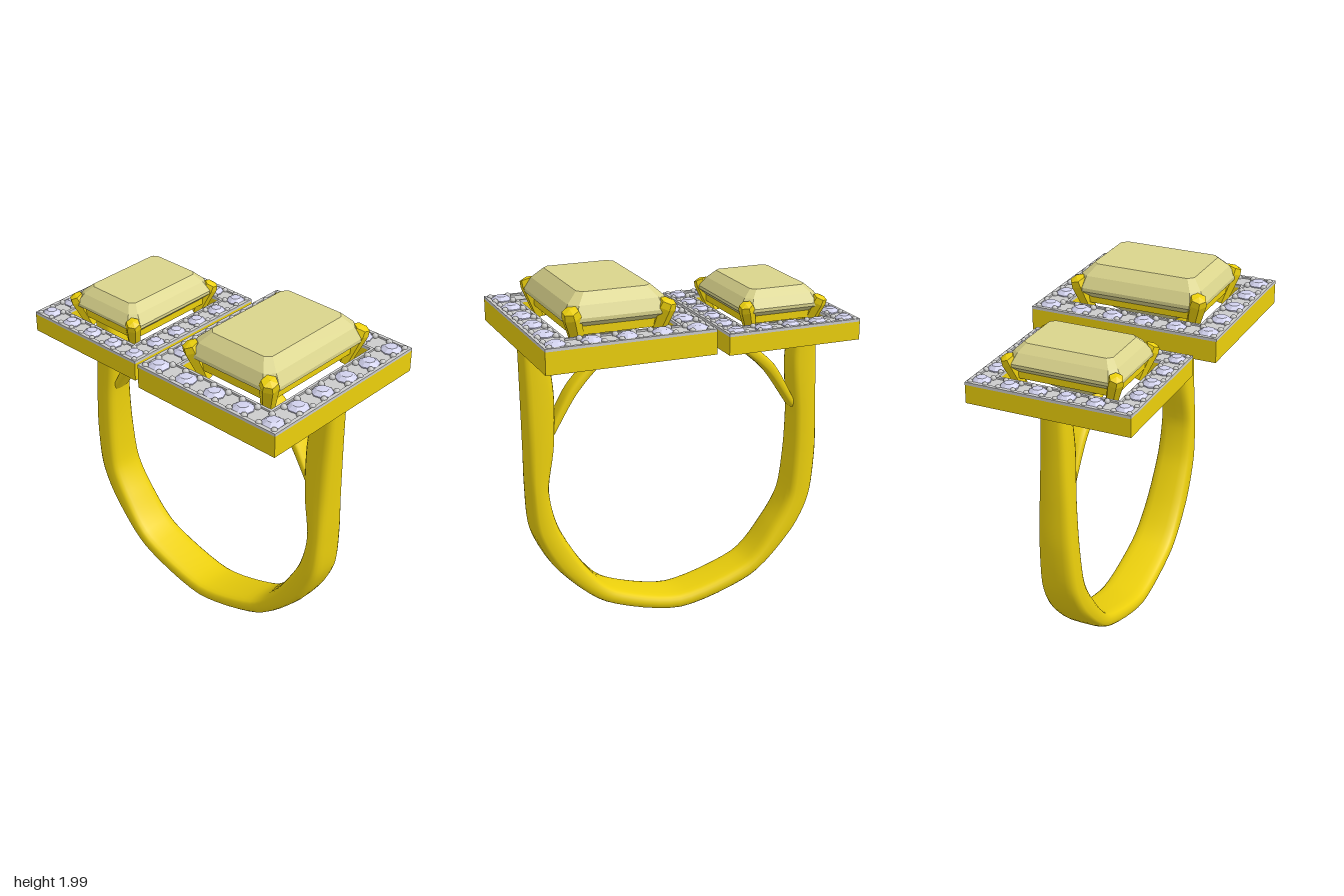
import * as THREE from 'three';

const paint = (color, extra = {}) => new THREE.MeshStandardMaterial({ color, ...extra });
const gold = paint(0xecd00c);
const goldFlat = paint(0xecd00c, { flatShading: true });
const silver = paint(0xcccccc);
const yellowGem = paint(0xdad48c, { flatShading: true });
const whiteGem = paint(0xd2d2ee, { flatShading: true });

function add(parent, name, geometry, material, x = 0, y = 0, z = 0) {
  const mesh = new THREE.Mesh(geometry, material);
  mesh.name = name;
  mesh.position.set(x, y, z);
  parent.add(mesh);
  return mesh;
}

// Closed skin over equal-length rings, with both ends capped
function skin(rings) {
  const n = rings[0].length;
  const centre = (ring) => {
    const c = new THREE.Vector3();
    ring.forEach((p) => c.addScaledVector(p, 1 / n));
    return ring.map(() => c);
  };
  const first = rings[0], last = rings[rings.length - 1];
  const all = [centre(first), first, ...rings, last, centre(last)];
  const index = [];
  for (let i = 0; i < all.length - 1; i++) {
    for (let j = 0; j < n; j++) {
      const a = i * n + j, b = i * n + (j + 1) % n;
      index.push(a, a + n, b + n, a, b + n, b);
    }
  }
  const g = new THREE.BufferGeometry().setFromPoints(all.flat());
  g.setIndex(index);
  g.computeVertexNormals();
  return g;
}

// Band between an outer and an inner outline; halfWidth gives z from the height
function band(outer, inner, halfWidth, steps) {
  const curve = (pts) => new THREE.CatmullRomCurve3(
    pts.map(([x, y]) => new THREE.Vector3(x, y, 0)), false, 'catmullrom', 0.4);
  const co = curve(outer), ci = curve(inner);
  const round = (v) => Math.sign(v) * Math.abs(v) ** 0.6;
  const rings = [];
  for (let i = 0; i <= steps; i++) {
    const o = co.getPoint(i / steps), q = ci.getPoint(i / steps);
    const c = o.clone().add(q).multiplyScalar(0.5);
    const h = o.clone().sub(c);
    const ring = [];
    for (let j = 0; j < 20; j++) {
      const t = j / 20 * Math.PI * 2;
      const p = c.clone().addScaledVector(h, round(Math.cos(t)));
      p.z = halfWidth(c.y) * round(Math.sin(t));
      ring.push(p);
    }
    rings.push(ring);
  }
  return skin(rings);
}

// Rectangular frame lying flat, standing on its local y = 0 (half sizes)
function frame(hw, hd, iw, id, height) {
  const rect = (path, w, d) =>
    path.setFromPoints([[-w, -d], [w, -d], [w, d], [-w, d]].map((p) => new THREE.Vector2(...p)));
  const shape = rect(new THREE.Shape(), hw, hd);
  shape.holes.push(rect(new THREE.Path(), iw, id));
  return new THREE.ExtrudeGeometry(shape, { depth: height, bevelEnabled: false }).rotateX(-Math.PI / 2);
}

// Step-cut stone with clipped corners; levels run from table to culet: [y, halfX, halfZ, clip]
function stepCut(levels) {
  return skin(levels.map(([y, w, d, c]) => [
    [w, d - c], [w, c - d], [w - c, -d], [c - w, -d],
    [-w, c - d], [-w, d - c], [c - w, d], [w - c, d],
  ].map(([x, z]) => new THREE.Vector3(x, y, z))));
}

// Tapered four-sided claw between two points, with a domed tip
function prong(parent, from, to, r) {
  const dir = to.clone().sub(from);
  const len = dir.length();
  const profile = [[0, 0], [r * 0.7, 0], [r, len * 0.8], [r * 0.85, len * 0.95], [0, len]]
    .map((p) => new THREE.Vector2(...p));
  const m = add(parent, 'prong', new THREE.LatheGeometry(profile, 6), goldFlat, from.x, from.y, from.z);
  m.quaternion.setFromUnitVectors(new THREE.Vector3(0, 1, 0), dir.normalize());
}

function head(o) {
  const g = new THREE.Group();
  g.name = o.name;
  g.position.x = o.x;
  const { hw, hd, iw, id, y0, y1 } = o;

  // Hollow gold tray with a silver channel on top
  add(g, 'trayWall', frame(hw, hd, hw - 0.035, hd - 0.035, y1 - y0), gold, 0, y0);
  add(g, 'trayPlate', frame(hw, hd, iw, id, 0.05), gold, 0, y1 - 0.05);
  add(g, 'trayInnerLip', frame(iw + 0.02, id + 0.02, iw, id, 0.08), gold, 0, y1 - 0.08);
  add(g, 'channelFloor', frame(hw, hd, iw, id, 0.006), silver, 0, y1);
  add(g, 'channelOuterRim', frame(hw, hd, hw - 0.02, hd - 0.02, 0.016), silver, 0, y1);
  add(g, 'channelInnerRim', frame(iw + 0.015, id + 0.015, iw, id, 0.016), silver, 0, y1);

  // Halo: 5 x 6 border of small stones, each held by four beads
  const r = o.r;
  const gem = new THREE.LatheGeometry([[0, -r * 0.8], [r, -0.004], [r, 0.004], [r * 0.55, 0.022], [0, 0.024]]
    .map((p) => new THREE.Vector2(...p)), 8);
  const bead = new THREE.SphereGeometry(r * 0.3, 10, 8);
  const seat = new THREE.CylinderGeometry(r * 0.75, r * 0.6, 0.02, 14);
  const sx = (hw + iw) / 2, sz = (hd + id) / 2;
  for (let i = 0; i < 5; i++) {
    for (let k = 0; k < 6; k++) {
      if (i % 4 && k % 5) continue;
      const x = sx * (i / 2 - 1), z = sz * (k / 2.5 - 1);
      add(g, 'haloStone', gem, whiteGem, x, y1 + 0.008, z).rotation.y = i + k * 0.7;
      add(g, 'haloSeat', seat, gold, x, y1 - 0.06, z);
      for (const a of [-1, 1]) {
        for (const b of [-1, 1]) add(g, 'bead', bead, silver, x + a * r * 0.85, y1 + 0.012, z + b * r * 0.85);
      }
    }
  }

  // Centre stone, gallery rail and corner prongs
  add(g, 'centreStone', stepCut(o.stone), yellowGem);
  const [rw, rd, ry, rh] = o.rail;
  add(g, 'galleryRail', frame(rw, rd, rw - 0.045, rd - 0.045, rh), gold, 0, ry);
  const [tx, ty, tz] = o.tip;
  for (const a of [-1, 1]) {
    for (const b of [-1, 1]) {
      prong(g, new THREE.Vector3(a * (tx - 0.06), y1 - 0.06, b * (tz - 0.06)),
        new THREE.Vector3(a * tx, ty, b * tz), o.prongR);
    }
  }
  return g;
}

export function createModel() {
  const ring = new THREE.Group();
  ring.name = 'ring';

  // Shank, from the right top round the bottom to the left top
  add(ring, 'shank', band(
    [[-0.865, 1.67], [-0.865, 1.4], [-0.87, 1.1], [-0.87, 0.85], [-0.835, 0.58], [-0.72, 0.37], [-0.45, 0.13],
      [0, 0.01], [0.45, 0.13], [0.72, 0.37], [0.84, 0.6], [0.86, 0.85], [0.865, 1.1], [0.87, 1.4], [0.875, 1.71]],
    [[-0.74, 1.67], [-0.705, 1.4], [-0.725, 1.1], [-0.72, 0.85], [-0.69, 0.6], [-0.6, 0.43], [-0.42, 0.22],
      [0, 0.1], [0.38, 0.2], [0.55, 0.36], [0.7, 0.62], [0.75, 0.85], [0.71, 1.1], [0.7, 1.4], [0.74, 1.71]],
    (y) => 0.132 - 0.038 * y, 84), gold);

  // Arches that branch inward under each head
  add(ring, 'rightArch', band(
    [[-0.13, 1.65], [-0.28, 1.61], [-0.45, 1.53], [-0.61, 1.39], [-0.73, 1.18]],
    [[-0.13, 1.62], [-0.27, 1.57], [-0.43, 1.47], [-0.57, 1.34], [-0.72, 1.12]],
    () => 0.055, 24), gold);
  add(ring, 'leftArch', band(
    [[0.73, 1.2], [0.61, 1.41], [0.45, 1.56], [0.22, 1.65], [-0.01, 1.69]],
    [[0.72, 1.13], [0.57, 1.37], [0.41, 1.53], [0.2, 1.615], [-0.01, 1.645]],
    () => 0.055, 24), gold);

  ring.add(head({
    name: 'largeHead', x: 0.44, hw: 0.46, hd: 0.54, iw: 0.305, id: 0.39, y0: 1.665, y1: 1.785, r: 0.058,
    stone: [[2, 0.2, 0.295, 0.03], [1.945, 0.26, 0.35, 0.045], [1.885, 0.295, 0.378, 0.06],
      [1.865, 0.295, 0.378, 0.06], [1.78, 0.2, 0.27, 0.04], [1.62, 0.004, 0.03, 0.002]],
    rail: [0.25, 0.34, 1.79, 0.045], tip: [0.268, 1.935, 0.362], prongR: 0.052,
  }));
  ring.add(head({
    name: 'smallHead', x: -0.515, hw: 0.385, hd: 0.455, iw: 0.255, id: 0.333, y0: 1.62, y1: 1.72, r: 0.05,
    stone: [[1.9, 0.16, 0.245, 0.025], [1.86, 0.205, 0.285, 0.035], [1.81, 0.243, 0.318, 0.05],
      [1.793, 0.243, 0.318, 0.05], [1.72, 0.165, 0.23, 0.03], [1.585, 0.004, 0.025, 0.002]],
    rail: [0.21, 0.285, 1.725, 0.04], tip: [0.225, 1.845, 0.305], prongR: 0.044,
  }));
  return ring;
}
